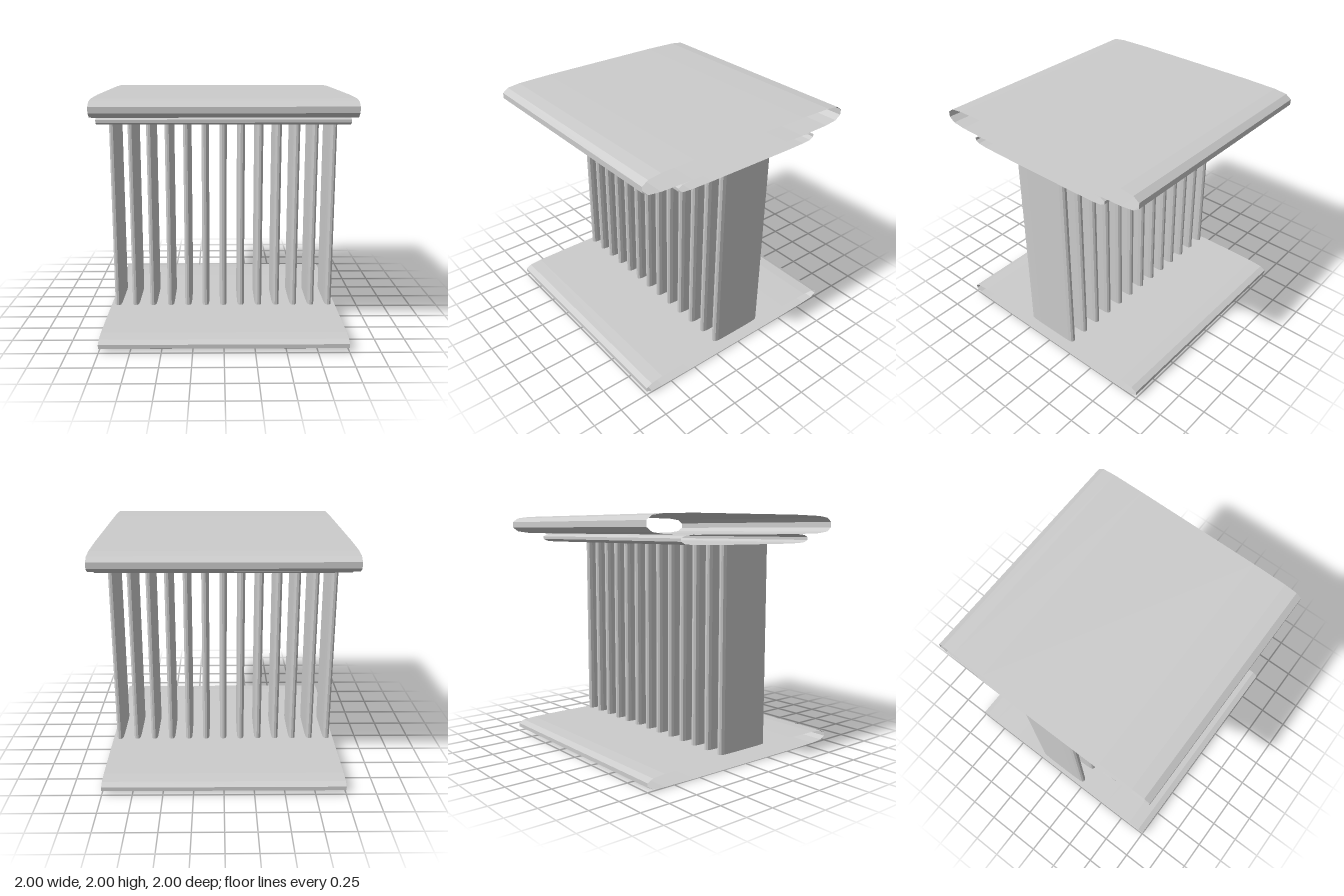
import * as THREE from 'three';

const material = new THREE.MeshStandardMaterial({
  color: 0xcccccc, flatShading: true, side: THREE.DoubleSide,
});

// One quarter of the blade section, as [width, thickness] fractions
const QUARTER = [[1, 0.3], [0.95, 0.74], [0.84, 0.92], [0.55, 1]];

// Full closed section, running from the front edge (+z) round through +x
function bladeSection() {
  const side = [...QUARTER, ...QUARTER.map(([w, t]) => [-w, t]).reverse()];
  return [...side, ...side.map(([w, t]) => [w, -t]).reverse()];
}

// Hollow blade along y, open at both ends
function bladeGeometry(length, halfWidth, halfThickness) {
  const section = bladeSection();
  const n = section.length;
  const positions = [];
  const index = [];
  for (const y of [-length / 2, length / 2]) {
    for (const [w, t] of section) positions.push(t * halfThickness, y, w * halfWidth);
  }
  for (let i = 0; i < n; i++) {
    const j = (i + 1) % n;
    index.push(i, j, n + j, i, n + j, n + i);
  }
  const geometry = new THREE.BufferGeometry();
  geometry.setAttribute('position', new THREE.Float32BufferAttribute(positions, 3));
  geometry.setIndex(index);
  geometry.computeVertexNormals();
  return geometry;
}

export function createModel() {
  const model = new THREE.Group();
  model.name = 'balustrade';

  // Horizontal rails: bottom, middle and top
  const addRail = (name, yMin, yMax, halfWidth) => {
    const rail = new THREE.Mesh(bladeGeometry(2, halfWidth, (yMax - yMin) / 2), material);
    rail.name = name;
    rail.rotation.z = Math.PI / 2;
    rail.position.y = (yMin + yMax) / 2;
    model.add(rail);
  };
  addRail('baseRail', 0, 0.11, 1);
  addRail('underRail', 1.765, 1.845, 0.69);
  addRail('topRail', 1.842, 2, 1);

  // Row of upright slats
  const slats = new THREE.Group();
  slats.name = 'slats';
  const slatCount = 13;
  const bottom = 0.1, top = 1.765;
  const slatGeometry = bladeGeometry(top - bottom, 0.25, 0.031);
  for (let i = 0; i < slatCount; i++) {
    const slat = new THREE.Mesh(slatGeometry, material);
    slat.name = `slat${i + 1}`;
    slat.position.set((i - (slatCount - 1) / 2) * 0.157, (bottom + top) / 2, 0);
    slats.add(slat);
  }
  model.add(slats);

  return model;
}
